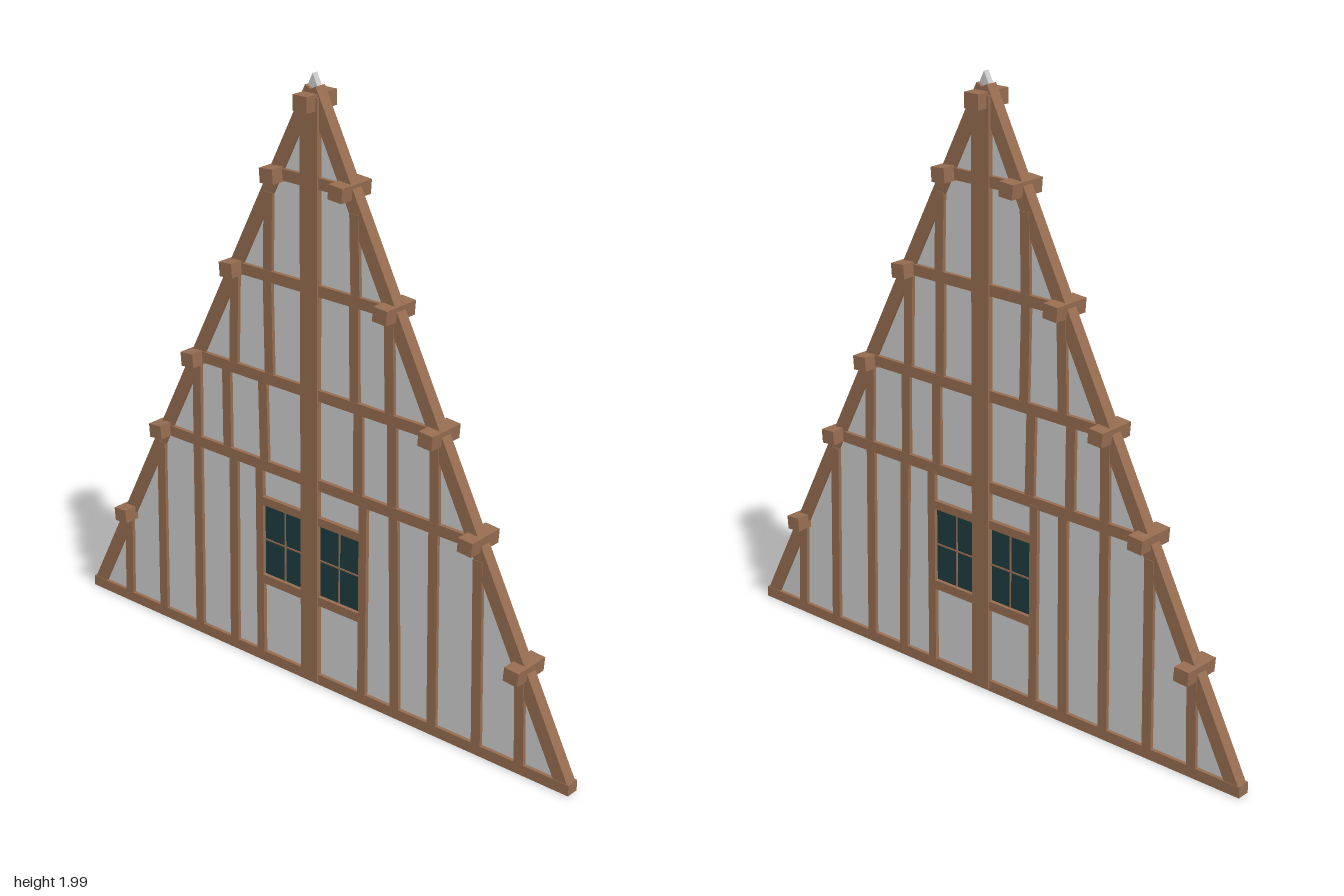
import * as THREE from 'three';

export function createModel() {
  const group = new THREE.Group();
  const wood = new THREE.MeshStandardMaterial({ color: 0x956c50, flatShading: true });
  const plaster = new THREE.MeshStandardMaterial({ color: 0xcccccc });
  const glass = new THREE.MeshStandardMaterial({ color: 0x1d3b3f });

  const box = (name, w, h, d, x, y, z = 0, mat = wood) => {
    const mesh = new THREE.Mesh(new THREE.BoxGeometry(w, h, d), mat);
    mesh.name = name;
    mesh.position.set(x, y, z);
    group.add(mesh);
    return mesh;
  };

  // Timber running between two points of the wall plane
  const timber = (name, x0, y0, x1, y1, w, d) => {
    const mesh = box(name, w, Math.hypot(x1 - x0, y1 - y0), d, (x0 + x1) / 2, (y0 + y1) / 2);
    mesh.rotation.z = -Math.atan2(x1 - x0, y1 - y0);
    return mesh;
  };

  // Triangular plaster infill
  const gable = new THREE.Shape([
    new THREE.Vector2(-0.99, 0.005), new THREE.Vector2(0.99, 0.005), new THREE.Vector2(0, 1.985),
  ]);
  const panel = new THREE.Mesh(
    new THREE.ExtrudeGeometry(gable, { depth: 0.02, bevelEnabled: false }).translate(0, 0, -0.01), plaster);
  panel.name = 'plasterPanel';
  group.add(panel);

  // Main frame
  box('sillBeam', 2, 0.036, 0.044, 0, 0.018);
  box('centrePost', 0.068, 1.91, 0.058, 0, 0.965);
  for (const s of [-1, 1]) timber('rafter', s * 0.973, 0.025, 0, 1.94, 0.045, 0.04);

  // Horizontal collar beams: height, half width
  for (const [y, half] of [[0.702, 0.62], [1.0, 0.47], [1.335, 0.3], [1.665, 0.13]]) {
    box('collarBeam', half * 2, 0.036, 0.046, 0, y);
  }

  // Purlin ends poking through on both faces
  for (const [x, y] of [[0.81, 0.345], [0.63, 0.705], [0.477, 0.995], [0.303, 1.335], [0.133, 1.665]]) {
    for (const s of [-1, 1]) box('purlin', 0.052, 0.046, 0.132, s * x, y).rotation.z = -s * 0.08;
  }
  box('ridgePurlin', 0.054, 0.048, 0.132, 0, 1.905);

  // Slightly leaning studs: foot x, foot y, head x, head y
  const studs = [
    [-0.825, 0.03, -0.815, 0.34], [-0.66, 0.03, -0.65, 0.65], [-0.49, 0.03, -0.483, 0.69], [-0.332, 0.03, -0.324, 0.69],
    [0.345, 0.03, 0.328, 0.69], [0.49, 0.03, 0.48, 0.69], [0.66, 0.03, 0.645, 0.65], [0.82, 0.03, 0.808, 0.34],
    [-0.483, 0.71, -0.478, 0.98], [-0.35, 0.71, -0.35, 0.99], [-0.192, 0.71, -0.197, 0.99],
    [0.19, 0.71, 0.188, 0.99], [0.322, 0.71, 0.318, 0.99], [0.484, 0.71, 0.476, 0.98],
    [-0.318, 1.01, -0.308, 1.32], [-0.168, 1.01, -0.173, 1.33], [0.173, 1.01, 0.168, 1.33], [0.308, 1.01, 0.3, 1.32],
    [-0.172, 1.34, -0.166, 1.6], [0.174, 1.34, 0.167, 1.6],
  ];
  for (const [x0, y0, x1, y1] of studs) timber('stud', x0, y0, x1, y1, 0.034, 0.044);

  // Pair of windows either side of the post, visible on both faces
  for (const s of [-1, 1]) {
    box('windowJamb', 0.03, 0.67, 0.048, s * 0.212, 0.36);
    box('windowSill', 0.2, 0.03, 0.05, s * 0.1, 0.302);
    box('windowHead', 0.2, 0.028, 0.05, s * 0.1, 0.579);
    box('windowPane', 0.17, 0.25, 0.024, s * 0.115, 0.44, 0, glass);
    box('glazingBar', 0.005, 0.25, 0.03, s * 0.112, 0.44);
    box('glazingBar', 0.17, 0.005, 0.03, s * 0.115, 0.44);
  }
  return group;
}
